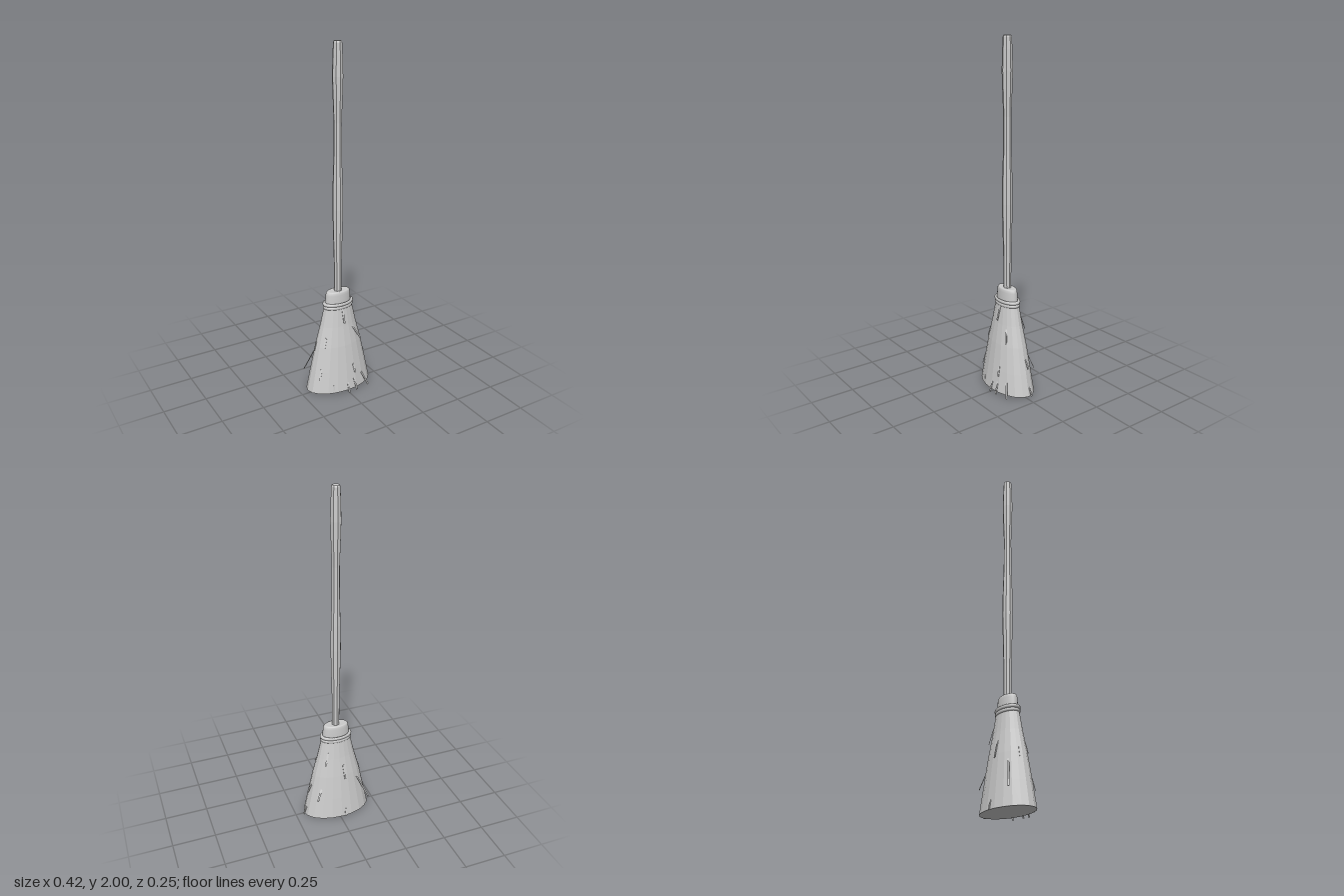
import * as THREE from 'three';

const CX = -0.005, CZ = -0.008, FLAT = 0.57;
// bristle outline: [radius across x, height]
const OUTLINE = [[0.205, 0.012], [0.178, 0.14], [0.145, 0.29], [0.113, 0.41], [0.088, 0.52]];

function radiusAt(y) {
  for (let i = 1; i < OUTLINE.length; i++) {
    const [r0, y0] = OUTLINE[i - 1], [r1, y1] = OUTLINE[i];
    if (y <= y1) return r0 + (r1 - r0) * (y - y0) / (y1 - y0);
  }
  return OUTLINE[OUTLINE.length - 1][0];
}

export function createModel() {
  const group = new THREE.Group();
  const flat = new THREE.MeshStandardMaterial({ color: 0xcccccc, flatShading: true });
  const smooth = new THREE.MeshStandardMaterial({ color: 0xcccccc });

  const add = (name, geometry, material, y = 0, zScale = 1) => {
    const mesh = new THREE.Mesh(geometry, material);
    mesh.name = name;
    mesh.position.set(CX, y, CZ);
    mesh.scale.z = zScale;
    group.add(mesh);
    return mesh;
  };
  const lathe = (points, sides) =>
    new THREE.LatheGeometry(points.map(([r, y]) => new THREE.Vector2(r, y)), sides);

  // flared oval bristle bundle with a closed base
  add('bristles', lathe([[0, 0.012], ...OUTLINE, [0.08, 0.54]], 20), flat, 0, FLAT);

  // binding collar above the bristles, with a softened shoulder
  add('collar', lathe([[0.082, 0.52], [0.08, 0.56], [0.077, 0.595], [0.074, 0.608],
    [0.068, 0.614], [0.058, 0.615], [0, 0.612]], 24), smooth, 0, 0.53);

  // two cords wrapped round the neck
  for (const [y, r] of [[0.522, 0.084], [0.541, 0.086]]) {
    const cord = new THREE.TorusGeometry(r, 0.0105, 8, 28).rotateX(Math.PI / 2);
    add('bindingCord', cord, smooth, y, 0.59);
  }

  // uneven eight-sided stick
  add('handle', lathe([[0, 0.58], [0.022, 0.58], [0.023, 0.8], [0.027, 0.96], [0.03, 1.1],
    [0.028, 1.25], [0.023, 1.4], [0.022, 1.58], [0.027, 1.72], [0.03, 1.82],
    [0.027, 1.93], [0.024, 1.992], [0.02, 2], [0, 2]], 8), flat);

  // loose straws: lower tip x, y, z and the rise to where each joins the bundle
  const straws = [
    [0, 0.0, 0.121, 0.06], [0.052, 0.003, 0.119, 0.07], [0.137, 0.005, 0.106, 0.08],
    [0.208, 0.012, -0.022, 0.05], [-0.09, 0.01, 0.094, 0.05], [-0.03, 0.01, -0.127, 0.05],
    [0.05, 0.11, 0.1, 0.055], [0.095, 0.32, 0.078, 0.07], [-0.003, 0.43, 0.066, 0.08],
    [-0.165, 0.1, 0.055, 0.06], [-0.125, 0.29, 0.042, 0.06], [-0.155, 0.26, -0.02, 0.05],
    [-0.182, 0.1, -0.105, 0.15], [-0.033, 0.27, -0.1, 0.09], [0.14, 0.14, -0.092, 0.07],
    [0.08, 0.37, -0.07, 0.08], [0.178, 0.17, -0.02, 0.05],
  ];
  for (const [x, y, z, rise] of straws) {
    const angle = Math.atan2((z - CZ) / FLAT, x - CX), top = y + rise, r = radiusAt(top);
    const tip = new THREE.Vector3(x, y, z);
    const root = new THREE.Vector3(CX + r * Math.cos(angle), top, CZ + r * FLAT * Math.sin(angle));
    const along = root.clone().sub(tip), length = along.length();
    along.normalize();
    const across = new THREE.Vector3(-r * Math.sin(angle), 0, r * FLAT * Math.cos(angle));
    across.addScaledVector(along, -across.dot(along)).normalize();
    const out = across.clone().cross(along);
    const straw = add('looseStraw', new THREE.BoxGeometry(0.01, length, 0.003), flat);
    straw.quaternion.setFromRotationMatrix(new THREE.Matrix4().makeBasis(across, along, out));
    straw.position.copy(tip).add(root).multiplyScalar(0.5);
  }
  return group;
}
